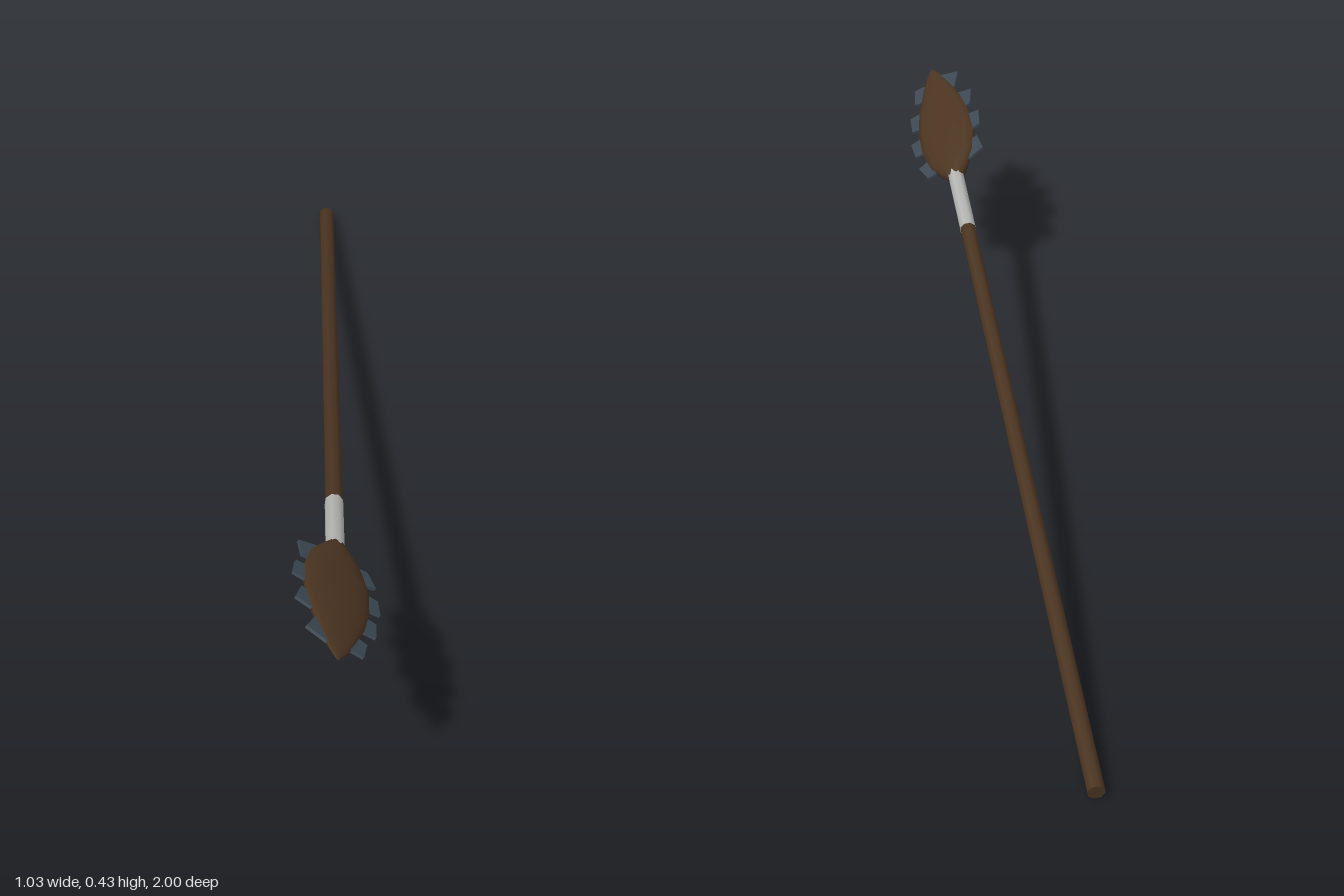
import * as THREE from 'three';

const wood = new THREE.MeshStandardMaterial({ name: 'darkWood', color: 0x4b3421 });
const binding = new THREE.MeshStandardMaterial({ name: 'paleBinding', color: 0xb4b4b2 });
const stone = new THREE.MeshStandardMaterial({ name: 'slateStone', color: 0x3c4853 });

// Blade outline from socket to tip: distance along shaft, half width, half thickness
const OUTLINE = [
  [0.705, 0.017, 0.017], [0.735, 0.036, 0.02], [0.775, 0.056, 0.021],
  [0.84, 0.07, 0.02], [0.92, 0.069, 0.018], [0.99, 0.057, 0.015],
  [1.06, 0.036, 0.01], [1.105, 0.02, 0.006], [1.135, 0.003, 0.002],
];

// Half width of the blade at a distance along the shaft
function halfWidth(t) {
  for (let i = 1; i < OUTLINE.length; i++) {
    const [a, wa] = OUTLINE[i - 1], [b, wb] = OUTLINE[i];
    if (t <= b) return wa + (wb - wa) * (t - a) / (b - a);
  }
  return 0;
}

function rod(name, from, to, radius, material) {
  const mesh = new THREE.Mesh(new THREE.CylinderGeometry(radius, radius, to - from, 8), material);
  mesh.name = name;
  mesh.position.y = (from + to) / 2;
  return mesh;
}

// Flat leaf-shaped head: a cylinder whose rings follow the outline
function bladeGeometry() {
  const rows = OUTLINE.length - 1;
  const geo = new THREE.CylinderGeometry(1, 1, rows, 14, rows);
  const p = geo.attributes.position;
  for (let i = 0; i < p.count; i++) {
    const [t, w, d] = OUTLINE[Math.round(p.getY(i) + rows / 2)];
    p.setXYZ(i, p.getX(i) * w, t, p.getZ(i) * d);
  }
  geo.computeVertexNormals();
  return geo;
}

// Slanted stone flake
function toothGeometry() {
  const shape = new THREE.Shape([
    new THREE.Vector2(-0.025, -0.032), new THREE.Vector2(0.018, -0.027),
    new THREE.Vector2(0.023, 0.024), new THREE.Vector2(-0.025, 0.032),
  ]);
  const geo = new THREE.ExtrudeGeometry(shape, { depth: 0.006, bevelEnabled: false });
  return geo.translate(0, 0, -0.003);
}

export function createModel() {
  const model = new THREE.Group();
  model.name = 'spear';

  const spear = new THREE.Group();
  spear.name = 'tiltedSpear';
  model.add(spear);

  spear.add(rod('shaft', -1.127, 0.53, 0.0178, wood));
  spear.add(rod('binding', 0.516, 0.722, 0.0188, binding));

  const blade = new THREE.Mesh(bladeGeometry(), wood);
  blade.name = 'blade';
  spear.add(blade);

  // Stone teeth along both edges, turned to follow the outline
  const geo = toothGeometry();
  for (const side of [1, -1]) {
    for (let i = 0; i < 4; i++) {
      const t = 0.782 + i * 0.092;
      const slope = (halfWidth(t + 0.02) - halfWidth(t - 0.02)) / 0.04;
      const tooth = new THREE.Mesh(geo, stone);
      tooth.name = 'tooth';
      tooth.rotation.set(0, side > 0 ? 0 : Math.PI, -side * Math.atan(slope) * 0.8);
      tooth.position.set(side * halfWidth(t), t, 0);
      spear.add(tooth);
    }
  }

  // Lean: blade width along x, shaft along y
  const along = new THREE.Vector3(0.4405, 0.172, 0.881).normalize();
  const facing = new THREE.Vector3(0.812, -0.495, -0.309).cross(along).normalize();
  const across = new THREE.Vector3().crossVectors(along, facing);
  spear.quaternion.setFromRotationMatrix(new THREE.Matrix4().makeBasis(across, along, facing));
  spear.position.y = 0.211;
  return model;
}
